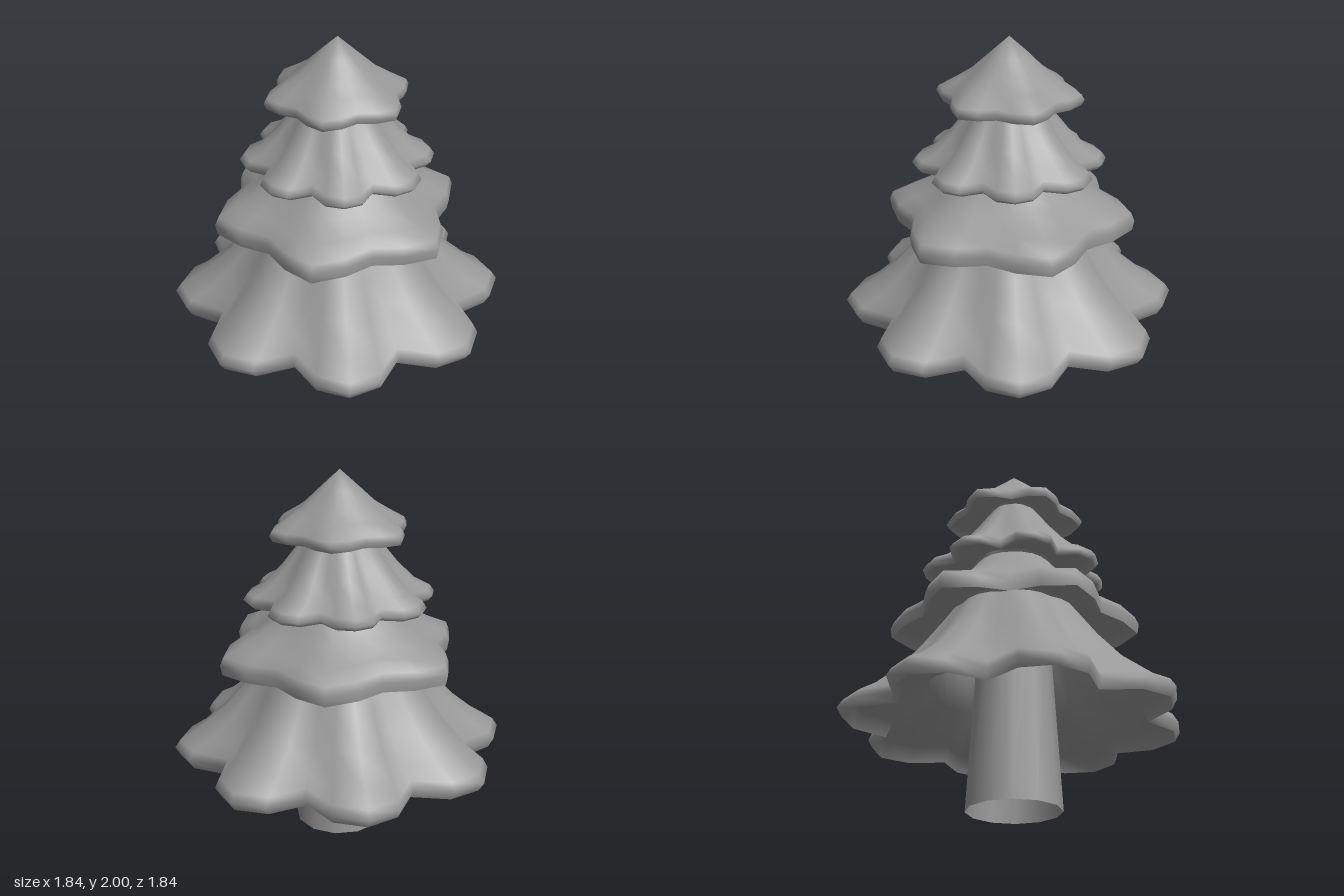
import * as THREE from 'three';
import { mergeVertices } from 'three/addons/utils/BufferGeometryUtils.js';

// Thin open shells, seen from both sides
const material = new THREE.MeshStandardMaterial({ color: 0x999999, side: THREE.DoubleSide });

// Each profile point: radius at a lobe tip, height, strength of the lobes.
// outside runs from the rim upwards, underside from the rim inwards.
// mid and valley are radius ratios between two lobe tips.
const TIERS = [
  { name: 'bottomBranches', lobes: 8, mid: 0.94, valley: 0.78,
    outside: [
      [0.89, 0.435, 1], [0.92, 0.485, 1], [0.89, 0.53, 1], [0.8, 0.58, 0.95], [0.64, 0.71, 0.75],
      [0.51, 0.86, 0.55], [0.43, 0.97, 0.4], [0.35, 1.08, 0.25]],
    underside: [[0.89, 0.435, 1], [0.84, 0.52, 1], [0.46, 0.66, 0.4], [0.42, 0.96, 0.4]] },
  { name: 'lowerMiddleBranches', lobes: 6, mid: 0.9, valley: 0.8,
    outside: [
      [0.67, 0.975, 1], [0.68, 1.03, 1], [0.66, 1.075, 1], [0.56, 1.12, 0.85], [0.42, 1.19, 0.55],
      [0.31, 1.28, 0.25], [0.22, 1.38, 0.1]],
    underside: [[0.67, 0.975, 1], [0.62, 1.03, 1], [0.33, 1.11, 0.3]] },
  { name: 'upperMiddleBranches', lobes: 8, mid: 0.955, valley: 0.79,
    outside: [
      [0.49, 1.3, 1], [0.515, 1.325, 1], [0.49, 1.36, 1], [0.41, 1.4, 0.9], [0.31, 1.5, 0.65],
      [0.23, 1.6, 0.45], [0.18, 1.67, 0.3], [0.13, 1.74, 0.15]],
    underside: [[0.49, 1.3, 1], [0.45, 1.345, 1], [0.22, 1.4, 0.3]] },
  { name: 'topBranches', lobes: 6, mid: 0.907, valley: 0.8,
    outside: [
      [0.375, 1.66, 1], [0.39, 1.69, 1], [0.375, 1.715, 1], [0.28, 1.77, 0.7], [0.2, 1.82, 0.35],
      [0.1, 1.91, 0.1], [0, 2, 0]],
    underside: [[0.375, 1.66, 1], [0.34, 1.7, 1], [0.14, 1.75, 0.2]] },
];

// A smooth lathe shell whose outline is scalloped into lobes
function scallopedShell(name, profile, { lobes, mid, valley }) {
  const points = profile.map(([r, y]) => new THREE.Vector2(r, y));
  const lathe = new THREE.LatheGeometry(points, lobes * 4);

  const pattern = [1, mid, valley, mid];
  const shift = lobes === 6 ? 2 : 0; // puts lobe tips on the x axis
  const position = lathe.attributes.position;
  for (let v = 0; v < position.count; v++) {
    const column = Math.floor(v / profile.length);
    const strength = profile[v % profile.length][2];
    const scale = 1 + (pattern[(column + shift) % 4] - 1) * strength;
    position.setX(v, position.getX(v) * scale);
    position.setZ(v, position.getZ(v) * scale);
  }
  // Weld the seam so the normals run smoothly all the way round
  lathe.deleteAttribute('uv');
  lathe.deleteAttribute('normal');
  const geometry = mergeVertices(lathe);
  geometry.computeVertexNormals();
  const mesh = new THREE.Mesh(geometry, material);
  mesh.name = name;
  return mesh;
}

export function createModel() {
  const tree = new THREE.Group();
  tree.name = 'firTree';

  // Tapered open trunk, reaching up inside the lowest tier
  const trunk = new THREE.Mesh(new THREE.CylinderGeometry(0.193, 0.25, 1, 12, 1, true), material);
  trunk.name = 'trunk';
  trunk.position.y = 0.5;
  tree.add(trunk);

  // Four tiers of branches, each with a hollow underside
  for (const tier of TIERS) {
    const branches = new THREE.Group();
    branches.name = tier.name;
    branches.add(scallopedShell('outside', tier.outside, tier));
    branches.add(scallopedShell('underside', tier.underside.toReversed(), tier));
    tree.add(branches);
  }
  return tree;
}
